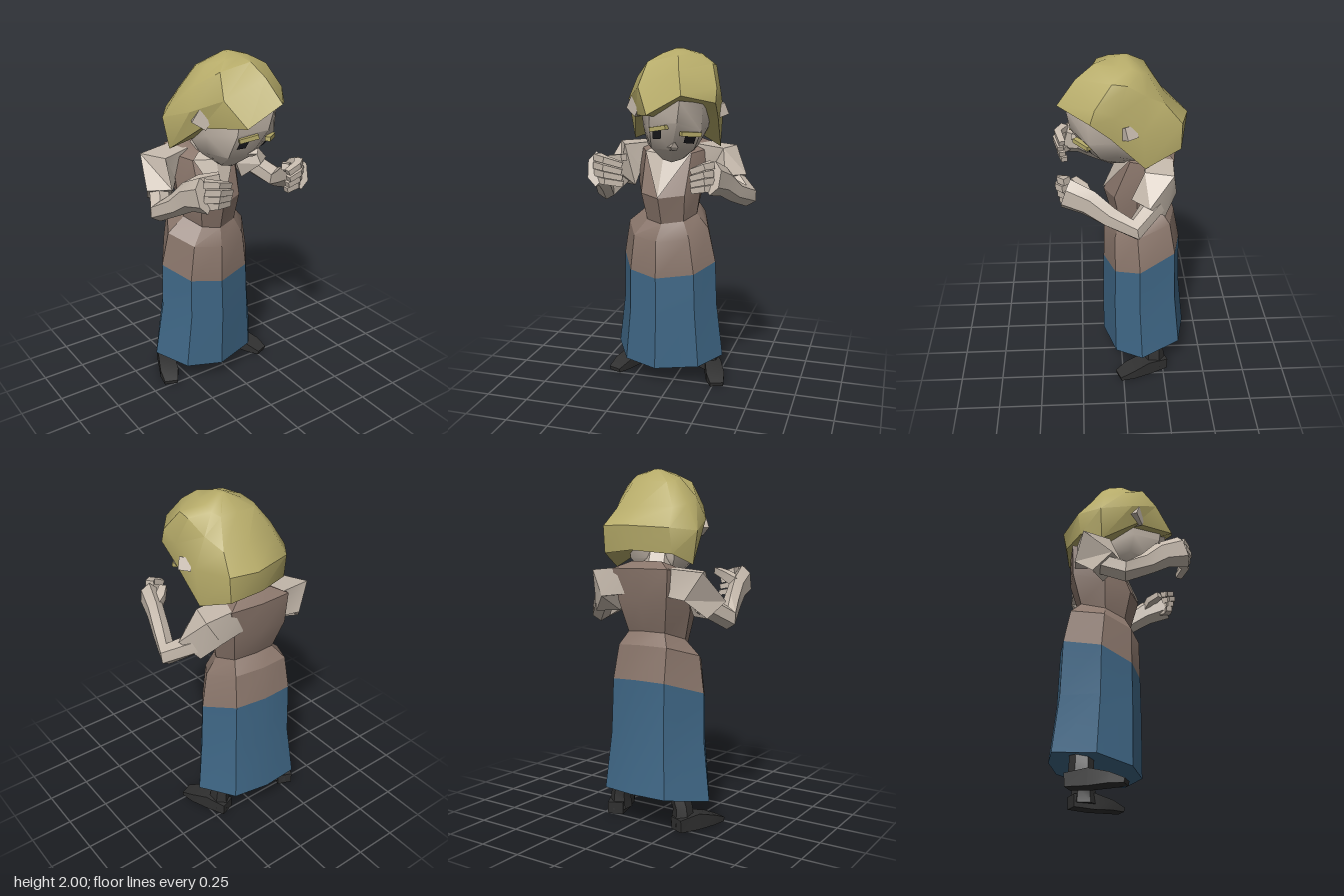
import * as THREE from 'three';
import { toCreasedNormals } from 'three/addons/utils/BufferGeometryUtils.js';

const V = (p) => new THREE.Vector3(p[0], p[1], p[2]);
const lerp = THREE.MathUtils.lerp;
const paint = (name, color) => {
  const m = new THREE.MeshStandardMaterial({ color });
  m.name = name;
  return m;
};

// Skins a stack of equal-length rings; faces are turned outwards by signed volume.
function loft(rings, crease = 0.5) {
  const n = rings[0].length, pts = rings.flat().map(V), tris = [];
  for (let k = 0; k < rings.length - 1; k++)
    for (let i = 0; i < n; i++) {
      const a = k * n + i, b = k * n + (i + 1) % n;
      tris.push([a, b, b + n], [a, b + n, a + n]);
    }
  const cap = (start, flip) => {
    const c = new THREE.Vector3();
    for (let i = 0; i < n; i++) c.addScaledVector(pts[start + i], 1 / n);
    pts.push(c);
    for (let i = 0; i < n; i++) {
      const a = start + i, b = start + (i + 1) % n;
      tris.push(flip ? [b, a, pts.length - 1] : [a, b, pts.length - 1]);
    }
  };
  cap(0, true);
  cap((rings.length - 1) * n, false);
  const mid = pts.reduce((s, p) => s.add(p), new THREE.Vector3()).divideScalar(pts.length);
  let volume = 0;
  for (const [a, b, c] of tris) {
    const q = [a, b, c].map((i) => pts[i].clone().sub(mid));
    volume += q[0].dot(q[1].cross(q[2]));
  }
  const g = new THREE.BufferGeometry().setFromPoints(pts);
  g.setIndex(tris.flatMap((t) => (volume < 0 ? [t[0], t[2], t[1]] : t)));
  return toCreasedNormals(g, crease);
}

// Limb through points [x, y, z, halfWidth, halfHeight]
function limb(path, sides = 4, up = [0, 1, 0], crease = 0.4) {
  const ps = path.map(V);
  return loft(ps.map((p, i) => {
    const t = ps[Math.min(i + 1, ps.length - 1)].clone().sub(ps[Math.max(i - 1, 0)]).normalize();
    const s = t.clone().cross(V(up)).normalize(), u = s.clone().cross(t);
    const grow = 1 / Math.cos(Math.PI / sides);
    return Array.from({ length: sides }, (_, j) => {
      const a = (j + 0.5) / sides * Math.PI * 2;
      return p.clone().addScaledVector(s, Math.cos(a) * path[i][3] * grow)
        .addScaledVector(u, Math.sin(a) * path[i][4] * grow).toArray();
    });
  }), crease);
}

// Open faces from lists of quads or triangles
function sheet(faces) {
  const pts = [];
  for (const f of faces) for (let i = 1; i < f.length - 1; i++) pts.push(V(f[0]), V(f[i]), V(f[i + 1]));
  const g = new THREE.BufferGeometry().setFromPoints(pts);
  g.computeVertexNormals();
  return g;
}

// Thin painted plate on a quad (top a-b, bottom c-d), over the given u and v span
function patch([a, b, c, d], u0, u1, v0, v1, lift) {
  const n = V(c).sub(V(a)).cross(V(b).sub(V(a))).normalize().multiplyScalar(lift);
  const at = (u, v) => V(a).lerp(V(b), u).lerp(V(c).lerp(V(d), u), v).add(n).toArray();
  return sheet([[at(u0, v0), at(u0, v1), at(u1, v1), at(u1, v0)]]);
}

export function createModel() {
  const model = new THREE.Group();
  model.name = 'womanInDress';
  const skin = paint('skin', 0xc6baad), hairGold = paint('hair gold', 0xb6ab69);
  const brown = paint('bodice brown', 0x8a766b), blue = paint('skirt blue', 0x3f6786);
  const black = paint('shoe black', 0x303030), dark = paint('eye black', 0x202024);
  skin.side = dark.side = hairGold.side = THREE.DoubleSide;
  const add = (name, geometry, material) => {
    const mesh = new THREE.Mesh(geometry, material);
    mesh.name = name;
    model.add(mesh);
  };

  // Dress: levels [centre x, half width, front z, back z, front y, back y, back corner spread]
  const level = ([cx, hw, zf, zb, yf, yb, back]) =>
    [[-0.08, 0], [0.66, 0.14], [1, 0.45], [back + 0.14, 0.91], [0.08, 1], [-back, 0.97], [-1, 0.52], [-0.68, 0.14]]
      .map(([x, t]) => [cx + x * hw, lerp(yf, yb, t), lerp(zf, zb, t)]);
  const hem = level([-0.06, 0.34, 0.11, -0.39, 0.11, 0.2, 0.55]);
  const knee = level([-0.055, 0.298, 0.11, -0.355, 0.45, 0.52, 0.55]);
  const thigh = level([-0.058, 0.29, 0.105, -0.345, 0.68, 0.84, 0.55]);
  const hip = level([-0.06, 0.25, 0.1, -0.308, 0.9, 1.03, 0.6]);
  const waist = level([-0.045, 0.165, 0.055, -0.247, 1.0, 1.1, 0.7]);
  const bust = level([-0.05, 0.195, 0.1, -0.3, 1.16, 1.27, 0.78]);
  const shoulder = level([-0.04, 0.205, 0.0, -0.305, 1.4, 1.45, 0.85]);
  const collar = level([-0.04, 0.12, -0.05, -0.24, 1.43, 1.49, 0.8]);
  add('skirt', loft([hem, knee, thigh]), blue);
  add('bodice', loft([thigh, hip, waist, bust, shoulder, collar], 0.45), brown);

  // Bare chest in the V neckline
  const out = (p) => [p[0], p[1] + 0.004, p[2] + 0.008];
  const [b0, s0, s1, s7, c0, c1, c7] =
    [bust[0], shoulder[0], shoulder[1], shoulder[7], collar[0], collar[1], collar[7]].map(out);
  add('neckline', sheet([[b0, s1, s0], [b0, s0, s7], [s0, s1, c1, c0], [s7, s0, c0, c7]]), skin);
  add('neck', limb([[-0.06, 1.38, -0.17, 0.075, 0.075], [-0.01, 1.56, -0.05, 0.07, 0.07]], 6, [0, 0, 1]), skin);

  // Head, bowed and turned: centre front first, then round by the left side
  const forehead = [[0.12, 1.74, 0.3], [0.22, 1.72, 0.19], [0.22, 1.7, 0.03], [0.17, 1.66, -0.12],
    [0, 1.66, -0.16], [-0.15, 1.66, -0.12], [-0.17, 1.7, 0.05], [-0.06, 1.72, 0.25]];
  const eyeLine = [[0.1, 1.62, 0.28], [0.21, 1.57, 0.185], [0.215, 1.58, 0.03], [0.15, 1.5, -0.12],
    [0, 1.5, -0.16], [-0.14, 1.5, -0.11], [-0.16, 1.58, 0.07], [-0.07, 1.6, 0.235]];
  const mouth = [[0.045, 1.46, 0.195], [0.155, 1.46, 0.12], [0.155, 1.47, 0.03], [0.1, 1.42, -0.08],
    [0, 1.42, -0.1], [-0.1, 1.42, -0.08], [-0.14, 1.47, 0.05], [-0.08, 1.46, 0.165]];
  const chin = [[0.01, 1.37, 0.07], [0.06, 1.385, 0.05], [0.07, 1.39, 0.01], [0.05, 1.385, -0.03],
    [0, 1.38, -0.04], [-0.05, 1.385, -0.03], [-0.06, 1.39, 0.01], [-0.05, 1.38, 0.05]];
  add('head', loft([forehead, eyeLine, mouth, chin], 0.8), skin);
  add('nose', loft([
    [[0.06, 1.51, 0.225], [0.075, 1.51, 0.225], [0.068, 1.51, 0.215]],
    [[0.02, 1.475, 0.2], [0.085, 1.475, 0.2], [0.055, 1.485, 0.245]],
    [[0.035, 1.455, 0.19], [0.07, 1.455, 0.19], [0.052, 1.465, 0.22]]], 0.3), skin);

  // Eyes and brows
  const rightCheek = [eyeLine[7], eyeLine[0], mouth[7], mouth[0]];
  const leftCheek = [eyeLine[0], eyeLine[1], mouth[0], mouth[1]];
  add('rightEye', patch(rightCheek, 0.14, 0.48, 0.2, 0.56, 0.009), dark);
  add('leftEye', patch(leftCheek, 0.42, 0.86, 0.26, 0.66, 0.009), dark);
  add('rightBrow', limb([[-0.06, 1.575, 0.235, 0.015, 0.012], [0.04, 1.595, 0.27, 0.015, 0.012]]), hairGold);
  add('leftBrow', limb([[0.115, 1.56, 0.255, 0.015, 0.012], [0.205, 1.55, 0.18, 0.015, 0.012]]), hairGold);

  // Bobbed hair: rings from the hem to the crown
  add('hair', loft([
    [[0.14, 1.77, 0.345], [0.285, 1.72, 0.175], [0.275, 1.635, 0.07], [0.25, 1.445, -0.115], [0.19, 1.53, -0.31],
      [0, 1.55, -0.33], [-0.215, 1.53, -0.25], [-0.275, 1.47, -0.13], [-0.2, 1.63, 0.08], [-0.06, 1.66, 0.315]],
    [[0.1, 1.895, 0.245], [0.285, 1.8, 0.15], [0.285, 1.76, 0.04], [0.265, 1.66, -0.1], [0.2, 1.68, -0.31],
      [0.05, 1.685, -0.352], [-0.21, 1.67, -0.27], [-0.308, 1.655, -0.14], [-0.25, 1.72, 0.05], [-0.14, 1.8, 0.21]],
    [[0.07, 1.965, 0.15], [0.24, 1.92, 0.06], [0.243, 1.91, -0.02], [0.215, 1.84, -0.12], [0.17, 1.78, -0.22],
      [0.02, 1.785, -0.23], [-0.18, 1.78, -0.19], [-0.225, 1.8, -0.11], [-0.21, 1.84, 0.01], [-0.11, 1.93, 0.13]],
    [[0.05, 1.985, 0.08], [0.14, 1.975, 0.03], [0.155, 1.97, -0.04], [0.15, 1.945, -0.09], [0.12, 1.925, -0.13],
      [0.02, 1.93, -0.135], [-0.1, 1.92, -0.125], [-0.13, 1.925, -0.08], [-0.11, 1.95, 0], [-0.04, 1.975, 0.07]],
    [[0.04, 2, 0.02], [0.05, 2, 0.01], [0.055, 2, 0], [0.05, 2, -0.02], [0.04, 2, -0.03],
      [0.03, 2, -0.03], [0.02, 2, -0.03], [0.015, 2, -0.02], [0.015, 2, 0], [0.02, 2, 0.01]],
  ], 0.6), hairGold);

  // Ear tips poking through the hair
  add('leftEar', limb([[0.22, 1.64, 0.01, 0.025, 0.03], [0.285, 1.675, -0.04, 0.035, 0.035]]), skin);
  add('rightEar', limb([[-0.16, 1.66, 0.1, 0.03, 0.04], [-0.225, 1.705, 0.065, 0.025, 0.04]]), skin);

  // Arms: sleeve, forearm with palm, four curled fingers and a thumb
  const arm = (side, sleeve, fore, finger, thumb) => {
    add(side + 'Sleeve', limb(sleeve, 4), skin);
    add(side + 'Forearm', limb(fore, 6), skin);
    for (let i = 0; i < 4; i++) {
      const path = finger.map(([x, y, z], k) =>
        [x, y + i * [0.042, 0.04, 0.035][k], z - Math.abs(i - 2) * 0.01, 0.024 - k * 0.003, 0.019 - k * 0.002]);
      add(side + 'Finger' + (i + 1), limb(path), skin);
    }
    add(side + 'Thumb', limb(thumb.map((p, k) => [...p, 0.032 - k * 0.006, 0.028 - k * 0.005])), skin);
  };
  arm('right',
    [[-0.16, 1.38, -0.2, 0.075, 0.075], [-0.32, 1.36, -0.185, 0.085, 0.09], [-0.365, 1.23, -0.1, 0.07, 0.075]],
    [[-0.34, 1.27, -0.15, 0.055, 0.055], [-0.42, 1.175, 0, 0.055, 0.055], [-0.385, 1.25, 0.12, 0.043, 0.055],
      [-0.368, 1.32, 0.21, 0.042, 0.07], [-0.345, 1.36, 0.33, 0.045, 0.085]],
    [[-0.34, 1.3, 0.33], [-0.28, 1.3, 0.37], [-0.19, 1.285, 0.345]],
    [[-0.375, 1.36, 0.2], [-0.29, 1.4, 0.215], [-0.205, 1.42, 0.265]]);
  arm('left',
    [[0.08, 1.38, -0.2, 0.075, 0.075], [0.25, 1.36, -0.2, 0.08, 0.085], [0.31, 1.24, -0.13, 0.07, 0.075]],
    [[0.3, 1.27, -0.17, 0.055, 0.055], [0.42, 1.175, -0.05, 0.055, 0.055], [0.375, 1.23, 0.08, 0.043, 0.055],
      [0.34, 1.3, 0.19, 0.042, 0.07], [0.305, 1.34, 0.31, 0.045, 0.08]],
    [[0.3, 1.285, 0.31], [0.265, 1.285, 0.345], [0.195, 1.27, 0.345]],
    [[0.34, 1.32, 0.2], [0.28, 1.36, 0.22], [0.23, 1.38, 0.27]]);

  // Legs and shoes, toes turned out
  const leg = (side, ankle, heel, toe) => {
    add(side + 'Leg', limb([[ankle[0], 0.03, ankle[1], 0.055, 0.065], [ankle[0], 0.12, ankle[1], 0.045, 0.055],
      [ankle[0] * 0.9, 0.2, ankle[1], 0.045, 0.055]], 6, [0, 0, 1]), black);
    const at = (t, y, w, h) => [lerp(heel[0], toe[0], t), y, lerp(heel[1], toe[1], t), w, h];
    add(side + 'Shoe', limb([at(0, 0.04, 0.045, 0.035), at(0.4, 0.045, 0.05, 0.045),
      at(0.75, 0.033, 0.055, 0.028), at(1, 0.017, 0.04, 0.012)]), black);
  };
  leg('left', [0.18, -0.19], [0.17, -0.26], [0.28, 0.03]);
  leg('right', [-0.27, -0.22], [-0.27, -0.29], [-0.385, 0.0]);
  return model;
}
